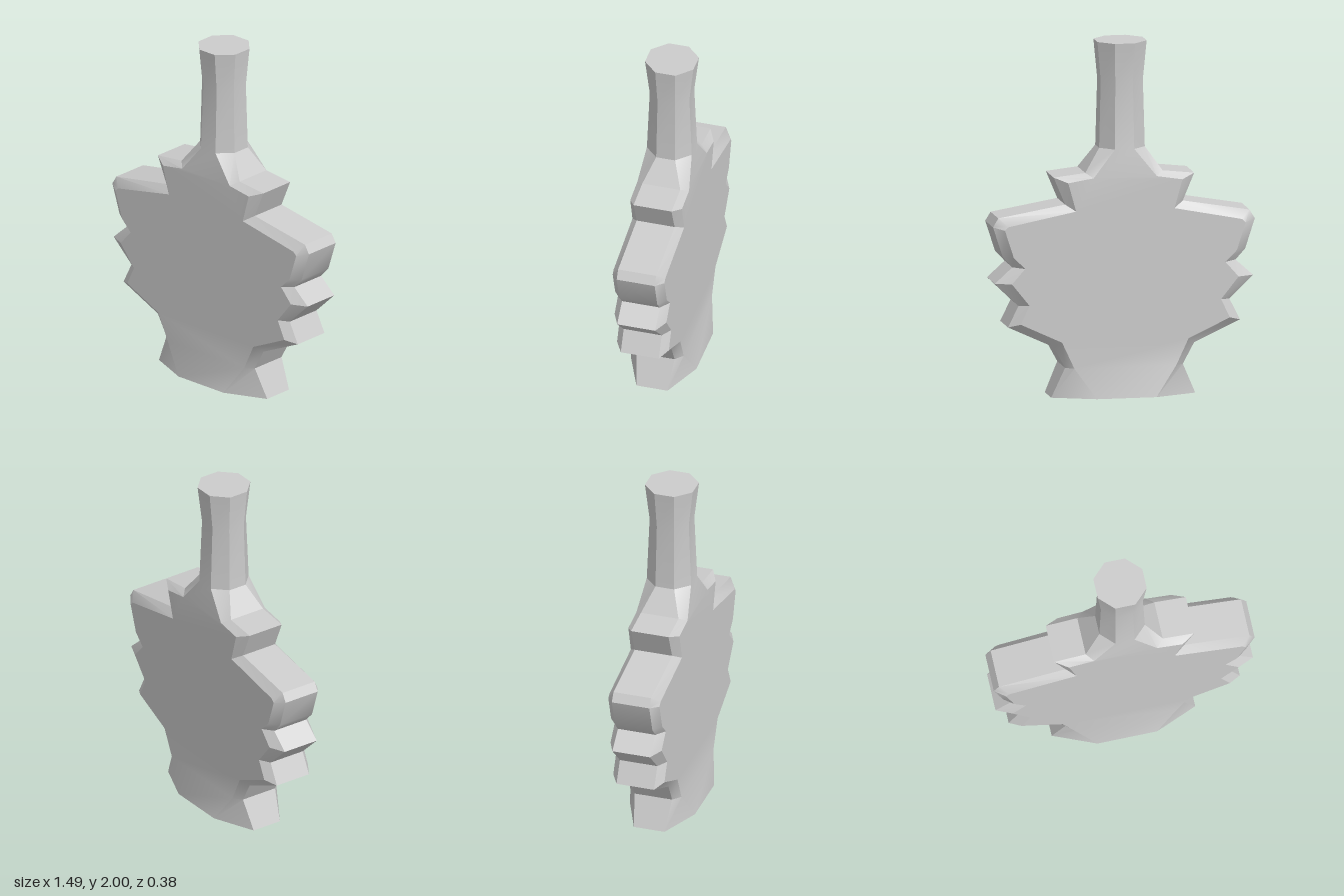
import * as THREE from 'three';
import { toCreasedNormals } from 'three/addons/utils/BufferGeometryUtils.js';

// Eight-sided sections from bottom to top:
// [outer x, outer y, face x, face y, side half depth, face half depth]
const base = [[0.41, 0, 0.17, 0, 0.09, 0.19]];
const leaf = [
  [0.335, 0.17, 0.29, 0.17],
  [0.40, 0.29, 0.36, 0.32],
  [0.66, 0.41, 0.595, 0.43],
  [0.60, 0.53, 0.545, 0.535],
  [0.735, 0.66, 0.645, 0.66],
  [0.635, 0.75, 0.57, 0.745],
  [0.69, 0.81, 0.635, 0.81],
  [0.745, 0.98, 0.685, 0.965],
  [0.715, 1.03, 0.665, 0.985],
  [0.335, 1.095, 0.28, 1.06],
  [0.40, 1.25, 0.325, 1.222],
  [0.22, 1.27, 0.18, 1.245],
].map((r) => [...r, 0.11, 0.15]);
const neck = [
  [0.13, 1.40, 0.055, 1.40, 0.055, 0.13],
  [0.12, 1.78, 0.05, 1.78, 0.05, 0.115],
  [0.14, 2, 0.058, 2, 0.058, 0.14],
];

function createBody() {
  const rows = [...base, ...leaf, ...neck];
  const first = base.length;
  const last = first + leaf.length - 1;
  const positions = [];
  const index = [];

  // One ring of eight corners per section
  for (const [xo, yo, xi, yi, zo, zi] of rows) {
    positions.push(
      xi, yi, zi, xo, yo, zo, xo, yo, -zo, xi, yi, -zi,
      -xi, yi, -zi, -xo, yo, -zo, -xo, yo, zo, -xi, yi, zi);
  }

  // Sides and bevels; the leaf's front and back are filled separately
  for (let r = 0; r < rows.length - 1; r++) {
    const inLeaf = r >= first && r < last;
    for (let k = 0; k < 8; k++) {
      if (inLeaf && (k === 3 || k === 7)) continue;
      const a = r * 8 + k;
      const b = r * 8 + (k + 1) % 8;
      index.push(a, b, b + 8, a, b + 8, a + 8);
    }
  }

  // Flat leaf faces
  const right = leaf.map((p, i) => ({ p: new THREE.Vector2(p[2], p[3]), front: (first + i) * 8, back: (first + i) * 8 + 3 }));
  const left = leaf.map((p, i) => ({ p: new THREE.Vector2(-p[2], p[3]), front: (first + i) * 8 + 7, back: (first + i) * 8 + 4 }));
  const outline = [...right, ...left.reverse()];
  for (const [a, b, c] of THREE.ShapeUtils.triangulateShape(outline.map((o) => o.p), [])) {
    index.push(outline[a].front, outline[b].front, outline[c].front);
    index.push(outline[c].back, outline[b].back, outline[a].back);
  }

  // Bottom and top caps
  const top = (rows.length - 1) * 8;
  for (let k = 1; k < 7; k++) {
    index.push(0, k + 1, k);
    index.push(top, top + k, top + k + 1);
  }

  const geometry = new THREE.BufferGeometry();
  geometry.setAttribute('position', new THREE.Float32BufferAttribute(positions, 3));
  geometry.setIndex(index);
  return toCreasedNormals(geometry, 0.5);
}

export function createModel() {
  const group = new THREE.Group();
  group.name = 'leafOrnament';
  const body = new THREE.Mesh(createBody(), new THREE.MeshStandardMaterial({ color: 0xcccccc }));
  body.name = 'leafBody';
  group.add(body);
  return group;
}
